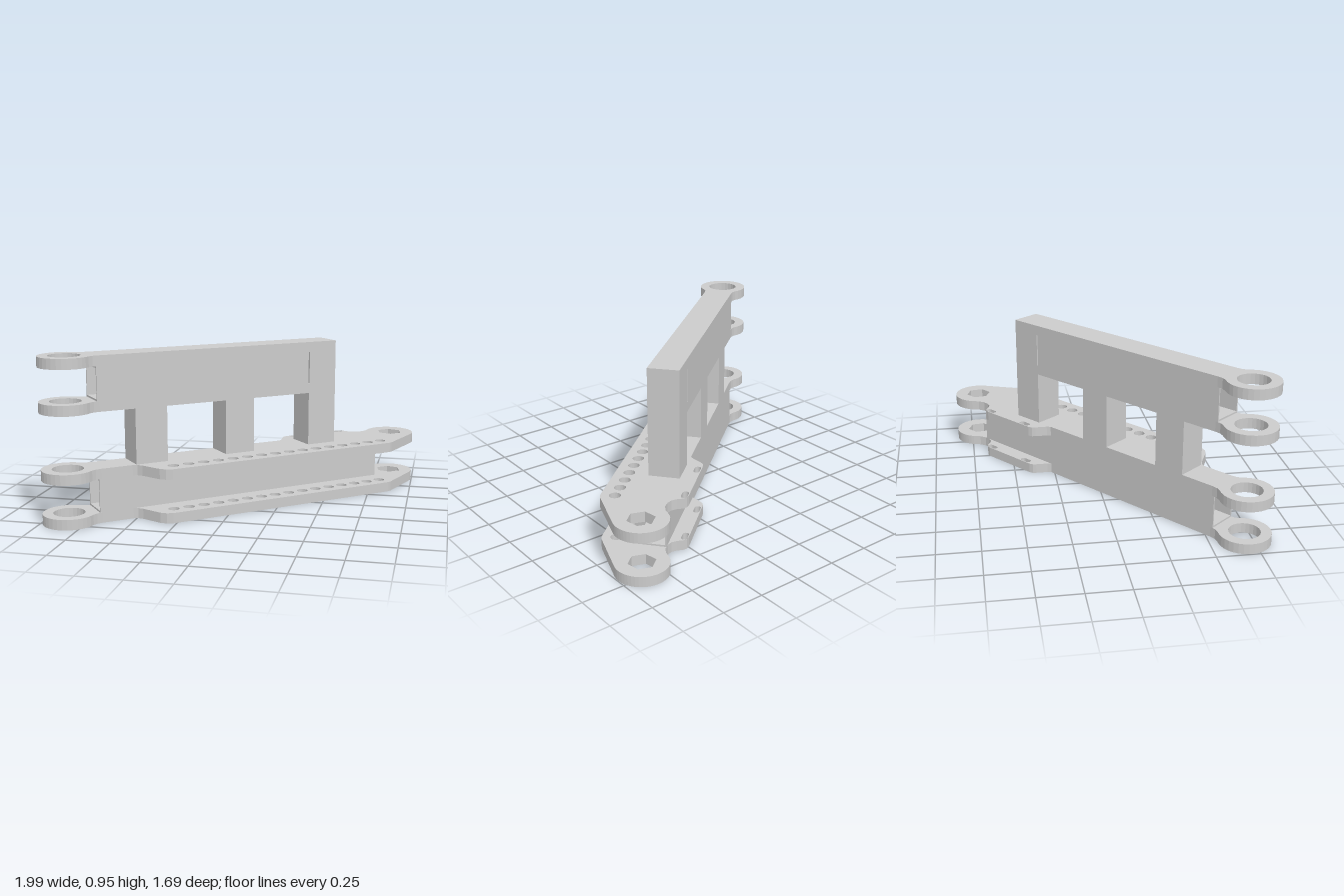
import * as THREE from 'three';

const material = new THREE.MeshStandardMaterial({ color: 0xcccccc, flatShading: true });
const HALF = 0.09;          // half width of the arm
const EYE = 1.097;          // distance of the eyes from the middle
const DEG = Math.PI / 180;

function addMesh(group, name, geometry) {
  const mesh = new THREE.Mesh(geometry, material);
  mesh.name = name;
  group.add(mesh);
  return mesh;
}

// Horizontal plate from a shape drawn in (length, -depth)
function addPlate(group, name, shape, y) {
  const g = new THREE.ExtrudeGeometry(shape, { depth: 0.06, bevelEnabled: false, curveSegments: 12 });
  g.rotateX(-Math.PI / 2).translate(0, y, 0);
  addMesh(group, name, g);
}

function addBlock(group, name, x0, x1, y0, y1) {
  const g = new THREE.BoxGeometry(x1 - x0, y1 - y0, HALF * 2);
  g.translate((x0 + x1) / 2, (y0 + y1) / 2, 0);
  addMesh(group, name, g);
}

// Thin-walled rectangular tube along the arm
function addTube(group, name, x0, x1, y0, y1) {
  const rect = (path, w, a, b) => path.moveTo(-w, a).lineTo(w, a).lineTo(w, b).lineTo(-w, b).closePath();
  const s = rect(new THREE.Shape(), HALF, y0, y1);
  s.holes.push(rect(new THREE.Path(), HALF - 0.008, y0 + 0.01, y1 - 0.01));
  const g = new THREE.ExtrudeGeometry(s, { depth: x1 - x0, bevelEnabled: false });
  g.rotateY(Math.PI / 2).translate(x0, 0, 0);
  addMesh(group, name, g);
}

const circle = (x, y, r) => new THREE.Path().absarc(x, y, r, 0, Math.PI * 2, true);

// Neck and round eye at the left end, closing the outline
function closeWithEye(s) {
  s.lineTo(-0.93, HALF);
  s.lineTo(-0.965, 0.094);
  s.absarc(-EYE, 0, 0.15, 45 * DEG, 315 * DEG, false);
  s.lineTo(-0.965, -0.094);
  s.closePath();
  s.holes.push(circle(-EYE, 0, 0.09));
}

function lowerPlateShape() {
  const s = new THREE.Shape();
  s.moveTo(-0.93, -HALF);
  // front flange
  [[-0.745, -0.09], [-0.72, -0.1], [-0.7, -0.125], [-0.642, -0.242], [-0.615, -0.27], [-0.58, -0.284],
    [0.87, -0.284], [0.9, -0.283], [0.918, -0.277]].forEach(p => s.lineTo(...p));
  // right eye
  s.absarc(EYE, 0, 0.15, -59.5 * DEG, 122 * DEG, false);
  // rear tab
  [[0.98, 0.1], [0.94, 0.088], [0.9, 0.092], [0.87, 0.105], [0.85, 0.13], [0.835, 0.162], [0.818, 0.178],
    [0.795, 0.184], [0.42, 0.184], [0.395, 0.177], [0.38, 0.162], [0.335, 0.105], [0.315, HALF]]
    .forEach(p => s.lineTo(...p));
  closeWithEye(s);
  // row of round holes
  for (let i = 0; i < 16; i++) s.holes.push(circle(-0.542 + i * 0.0948, -0.204, 0.033));
  // slots in the rear tab
  for (const x of [0.475, 0.79]) {
    const slot = new THREE.Path();
    slot.absarc(x - 0.02, 0.161, 0.018, 90 * DEG, 270 * DEG, false);
    slot.absarc(x + 0.02, 0.161, 0.018, -90 * DEG, 90 * DEG, false);
    slot.closePath();
    s.holes.push(slot);
  }
  // hexagonal hole
  const hex = [];
  for (let i = 0; i < 6; i++) {
    hex.push(new THREE.Vector2(EYE + 0.078 * Math.cos(i * 60 * DEG), 0.078 * Math.sin(i * 60 * DEG)));
  }
  s.holes.push(new THREE.Path([...hex, hex[0].clone()]));
  return s;
}

function upperPlateShape() {
  const s = new THREE.Shape();
  s.moveTo(-0.93, -HALF);
  s.lineTo(0.607, -HALF);
  s.lineTo(0.607, HALF);
  closeWithEye(s);
  return s;
}

export function createModel() {
  const model = new THREE.Group();
  model.name = 'linkArm';
  const arm = new THREE.Group();
  arm.name = 'arm';
  arm.rotation.y = 39.5 * DEG;
  model.add(arm);

  // Lower half: two perforated plates around a hollow bar
  const lower = lowerPlateShape();
  addPlate(arm, 'bottomPlate', lower, 0);
  addPlate(arm, 'middlePlate', lower, 0.255);
  addTube(arm, 'lowerHollowBar', -0.945, 0.925, 0.06, 0.255);

  // Columns
  for (const [x0, x1] of [[-0.721, -0.527], [-0.152, 0.036], [0.418, 0.607]]) {
    addBlock(arm, 'column', x0, x1, 0.315, 0.64);
  }

  // Upper half: narrow plates, hollow bar, slit, solid end
  const upper = upperPlateShape();
  addPlate(arm, 'upperPlate', upper, 0.64);
  addPlate(arm, 'topPlate', upper, 0.895);
  addTube(arm, 'upperHollowBar', -0.945, 0.414, 0.7, 0.895);
  addBlock(arm, 'upperEndBlock', 0.422, 0.607, 0.7, 0.895);

  return model;
}
